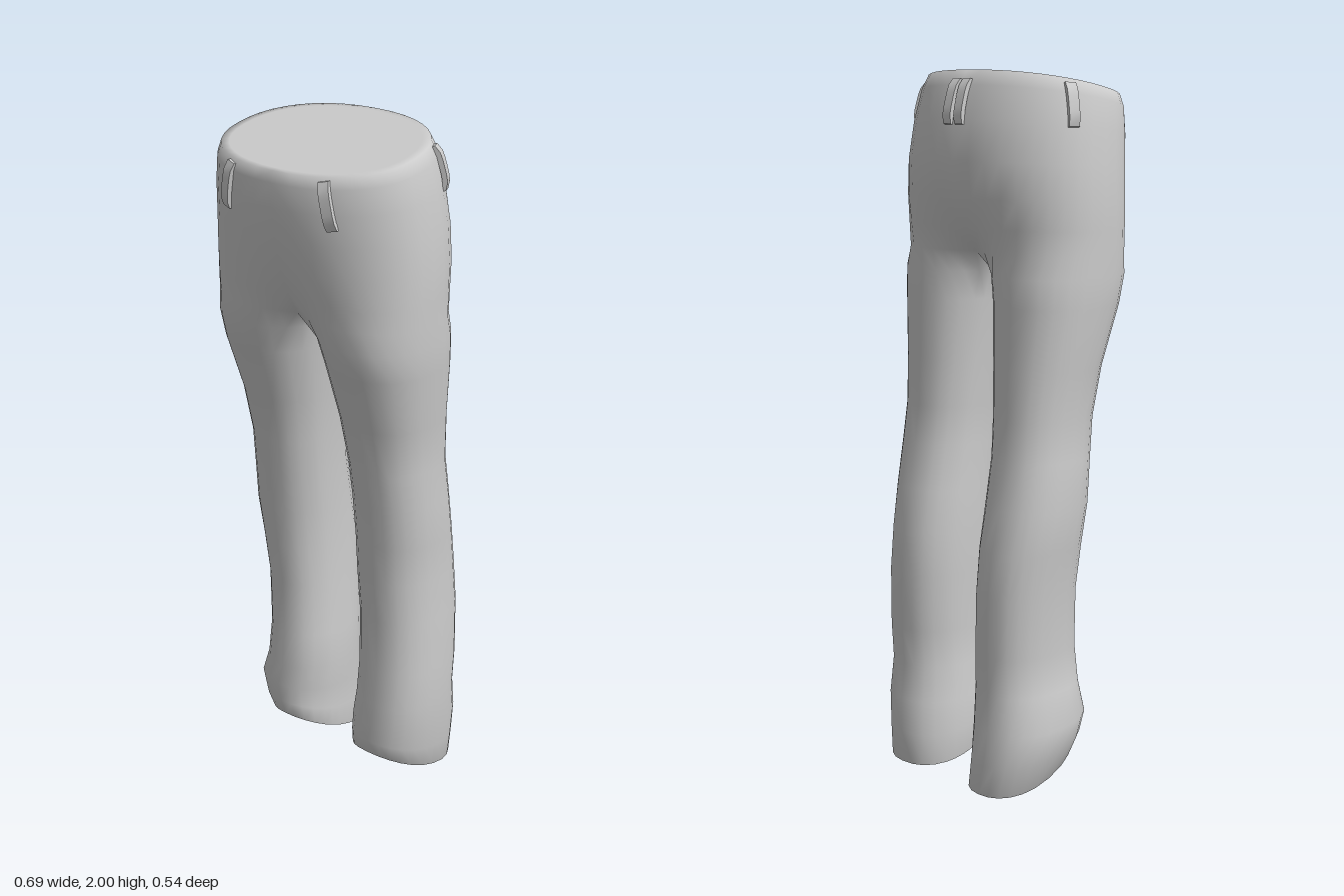
import * as THREE from 'three';
import { mergeVertices } from 'three/addons/utils/BufferGeometryUtils.js';

const M = 20, N = 26; // last index of the outer arc, points on a whole leg ring
const { lerp, clamp } = THREE.MathUtils, RAD = Math.PI / 180;
const power = (v, p) => Math.sign(v) * Math.abs(v) ** p;

// Hip rings: yFront, yBack, zFront, zBack, xOuter, blend towards leg section
const HIPS = [
  [1.915, 2.0, 0.262, -0.155, 0.3, 0],
  [1.885, 1.96, 0.27, -0.175, 0.315, 0],
  [1.82, 1.87, 0.27, -0.2, 0.328, 0],
  [1.74, 1.76, 0.262, -0.216, 0.338, 0.02],
  [1.65, 1.66, 0.25, -0.208, 0.345, 0.1],
  [1.57, 1.58, 0.237, -0.19, 0.344, 0.3],
  [1.51, 1.51, 0.222, -0.172, 0.343, 0.55],
];
// Leg rings: yFront, yBack, zFront, zBack, left xInner, xOuter, right xInner, xOuter
const LEGS = [
  [1.45, 1.45, 0.207, -0.166, 0.01, 0.342, 0.01, 0.342],
  [1.37, 1.37, 0.184, -0.166, 0.025, 0.338, 0.023, 0.34],
  [1.2, 1.2, 0.127, -0.175, 0.04, 0.315, 0.045, 0.318],
  [1.06, 1.06, 0.1, -0.182, 0.055, 0.305, 0.057, 0.305],
  [0.95, 0.95, 0.088, -0.193, 0.06, 0.313, 0.062, 0.308],
  [0.82, 0.82, 0.069, -0.222, 0.056, 0.308, 0.065, 0.32],
  [0.7, 0.7, 0.062, -0.243, 0.056, 0.306, 0.063, 0.304],
  [0.57, 0.57, 0.052, -0.25, 0.058, 0.313, 0.058, 0.292],
  [0.4, 0.4, 0.06, -0.245, 0.065, 0.32, 0.048, 0.282],
  [0.29, 0.29, 0.07, -0.24, 0.062, 0.319, 0.04, 0.29],
  [0.21, 0.19, 0.07, -0.262, 0.045, 0.315, 0.05, 0.322],
  [0.155, 0.09, 0.072, -0.268, 0.042, 0.305, 0.048, 0.3],
  [0.11, 0.0, 0.066, -0.272, 0.042, 0.293, 0.046, 0.272],
];

// Point j of a leg's rounded section, on the +x side
function legPoint(j, zf, zb, xi, xo) {
  const a = (j <= M ? -60 + 300 * j / M : 240 + 60 * (j - M) / (N - M)) * RAD;
  return [(xi + xo) / 2 + power(Math.sin(a), 0.88) * (xo - xi) / 2,
    (zf + zb) / 2 + power(Math.cos(a), 0.88) * (zf - zb) / 2];
}

function hipRing([yf, yb, zf, zb, xo, w]) {
  const zc = (zb + zf) / 2 + 0.01, ring = [];
  for (let j = 0; j < N; j++) {
    let [x, z] = legPoint(j, zf, zb, 0, xo);
    if (j <= M) {
      const a = Math.PI * j / M, c = power(Math.cos(a), 0.9);
      x = lerp(xo * Math.abs(Math.sin(a)) ** 0.9, x, w);
      z = lerp(zc + c * (c > 0 ? zf - zc : zc - zb), z, w);
      if (j === 0 || j === M) x = 0;
    } else {
      // straight crotch line between the two seam points
      z = lerp(ring[M].z, ring[0].z, (j - M) / (N - M));
      x = 0;
    }
    ring.push(new THREE.Vector3(x, lerp(yb, yf, (z - zb) / (zf - zb)), z));
  }
  return ring;
}

function legRing(row, right) {
  const [yf, yb, zf, zb] = row, [xi, xo] = right ? row.slice(6) : row.slice(4, 6);
  return Array.from({ length: N }, (_, j) => {
    const [x, z] = legPoint(j, zf, zb, xi, xo);
    const forward = clamp((z - zb) / (zf - zb), 0, 1);
    return new THREE.Vector3(x, lerp(yb, yf, forward ** 1.8), z);
  });
}

const shrink = (ring, centre, k) => ring.map(p => p.clone().lerp(centre, k));

function trouserGeometry() {
  const pos = [], index = [];
  for (const right of [false, true]) {
    const start = pos.length / 3;
    const hips = HIPS.map(hipRing), legs = LEGS.map(r => legRing(r, right));
    // closed waist and closed leg ends
    const [yf, yb, zf, zb] = HIPS[0];
    const waist = new THREE.Vector3(0, (yf + yb) / 2, (zf + zb) / 2);
    const hem = legs[legs.length - 1];
    const sole = hem.reduce((s, p) => s.add(p), new THREE.Vector3()).divideScalar(N);
    const rings = [shrink(hips[0], waist, 1), shrink(hips[0], waist, 0.5), shrink(hips[0], waist, 0.08),
      ...hips, ...legs, shrink(hem, sole, 0.1), shrink(hem, sole, 0.5), shrink(hem, sole, 1)];
    const crotch = 3 + hips.length - 1;
    rings.forEach(ring => ring.forEach(p => pos.push(right ? -p.x : p.x, p.y, p.z)));
    for (let r = 0; r < rings.length - 1; r++) {
      for (let j = 0; j < (r < crotch ? M : N); j++) {
        const a = start + r * N + j, b = start + r * N + (j + 1) % N, c = a + N, d = b + N;
        // leave out the empty triangles at the cap centres
        const faces = [];
        if (r < rings.length - 2) faces.push([a, c, d]);
        if (r > 0) faces.push([a, d, b]);
        for (const [i, k, l] of faces) index.push(i, ...(right ? [l, k] : [k, l]));
      }
    }
  }
  const geo = new THREE.BufferGeometry();
  geo.setAttribute('position', new THREE.Float32BufferAttribute(pos, 3));
  geo.setIndex(index);
  const merged = mergeVertices(geo, 1e-4);
  merged.computeVertexNormals();
  return merged;
}

export function createModel() {
  const group = new THREE.Group();
  const material = new THREE.MeshStandardMaterial({ color: 0xcccccc });
  const body = new THREE.Mesh(trouserGeometry(), material);
  body.name = 'trousers';
  group.add(body);

  // Point of the cloth met when looking inwards against the outward direction
  const ray = new THREE.Raycaster();
  const surface = (x, y, z, out) => {
    ray.set(new THREE.Vector3(x, y, z).add(out), out.clone().negate());
    return ray.intersectObject(body)[0].point;
  };

  // Belt loop: a strip standing off the cloth in the middle
  function beltLoop(name, out, top, bottom) {
    const a = surface(...top, out), b = surface(...bottom, out);
    const up = a.clone().sub(b), length = up.length();
    up.normalize();
    const side = up.clone().cross(out).normalize(), normal = side.clone().cross(up);
    const geo = new THREE.BoxGeometry(0.03, length, 0.014, 1, 6, 1);
    const p = geo.attributes.position;
    for (let i = 0; i < p.count; i++) {
      p.setZ(i, p.getZ(i) + 0.012 * (1 - (2 * p.getY(i) / length) ** 4));
    }
    geo.computeVertexNormals();
    const loop = new THREE.Mesh(geo, material);
    loop.name = name;
    loop.applyMatrix4(new THREE.Matrix4().makeBasis(side, up, normal)
      .setPosition(a.add(b).multiplyScalar(0.5)));
    group.add(loop);
  }

  for (const s of [1, -1]) {
    const label = s > 0 ? 'left' : 'right';
    beltLoop(label + 'FrontBeltLoop', new THREE.Vector3(0.25 * s, 0, 1).normalize(),
      [0.155 * s, 1.91, 0.25], [0.178 * s, 1.785, 0.24]);
    beltLoop(label + 'SideBeltLoop', new THREE.Vector3(s, 0, -0.45).normalize(),
      [0.29 * s, 1.965, -0.05], [0.31 * s, 1.85, -0.06]);
    beltLoop(label + 'BackBeltLoop', new THREE.Vector3(0, 0, -1),
      [0.02 * s, 1.975, -0.1], [0.022 * s, 1.855, -0.1]);
  }
  return group;
}
